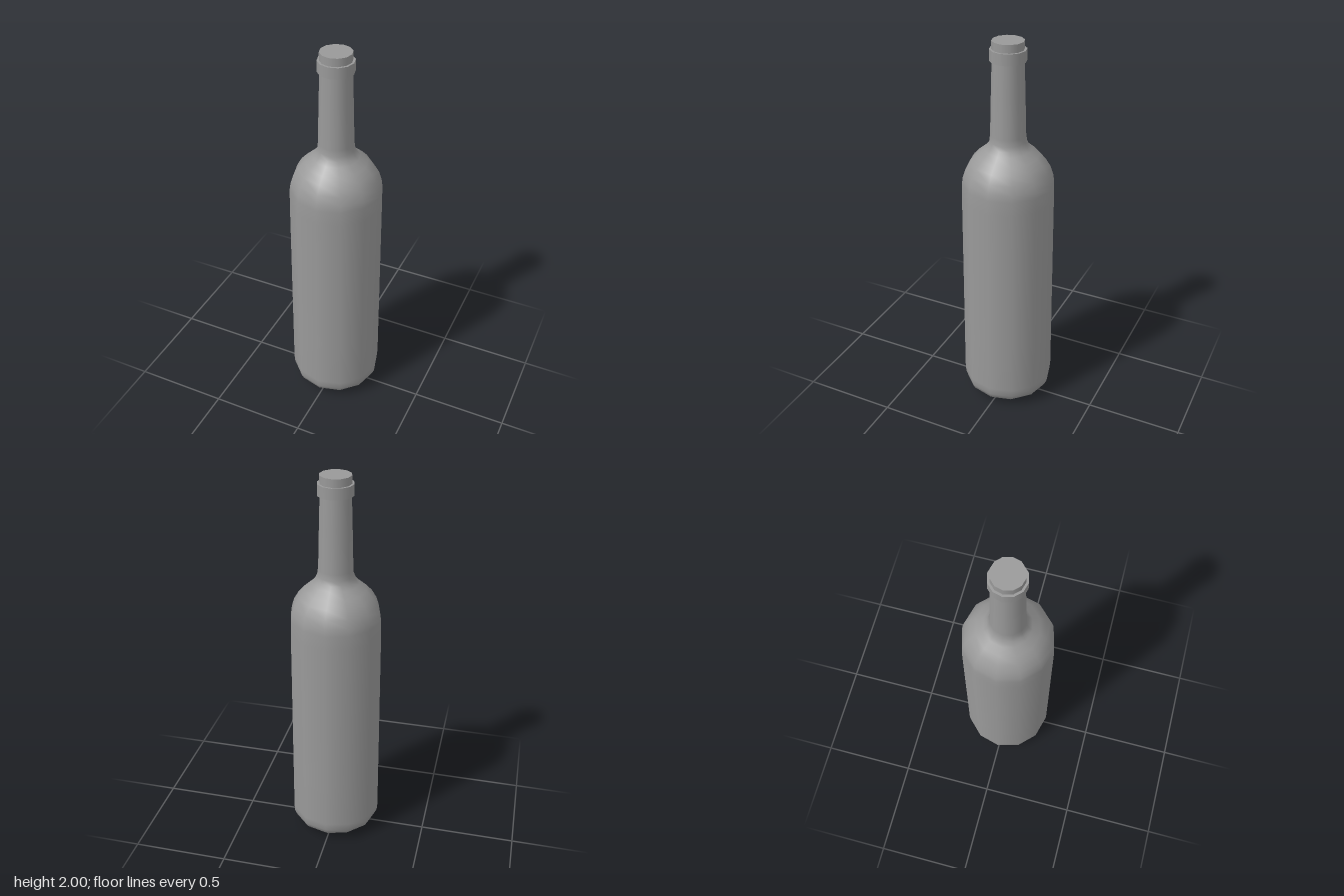
import * as THREE from 'three';

const SIDES = 12;
const material = new THREE.MeshStandardMaterial({ color: 0x999999 });

// Turned part: each profile is smooth, with a sharp edge between profiles
function turned(name, profiles) {
  const group = new THREE.Group();
  group.name = name;
  profiles.forEach((profile, i) => {
    const points = profile.map(([r, y]) => new THREE.Vector2(r, y));
    const geometry = new THREE.LatheGeometry(points, SIDES);
    geometry.normalizeNormals();
    const mesh = new THREE.Mesh(geometry, material);
    mesh.name = `${name}Surface${i + 1}`;
    group.add(mesh);
  });
  return group;
}

export function createModel() {
  const model = new THREE.Group();
  model.name = 'bottle';

  // Base, body, rounded shoulder and slightly tapered neck in one smooth sweep
  model.add(turned('body', [
    [
      [0, 0], [0.135, 0], [0.165, 0.007], [0.195, 0.022], [0.225, 0.05], [0.238, 0.08], [0.241, 0.12],
      [0.239, 0.4], [0.236, 0.8], [0.233, 1.2], [0.231, 1.275],
      [0.226, 1.31], [0.212, 1.353], [0.187, 1.395], [0.156, 1.428],
      [0.118, 1.46], [0.101, 1.48], [0.092, 1.503], [0.088, 1.535],
      [0.082, 1.75], [0.077, 1.91],
    ],
  ]));

  // Raised collar below the mouth
  model.add(turned('collar', [
    [[0.07, 1.904], [0.089, 1.904]],
    [[0.089, 1.904], [0.089, 1.96]],
    [[0.089, 1.96], [0.07, 1.96]],
  ]));

  // Closed mouth
  model.add(turned('mouth', [
    [[0.078, 1.96], [0.078, 2]],
    [[0.078, 2], [0, 2]],
  ]));

  return model;
}
